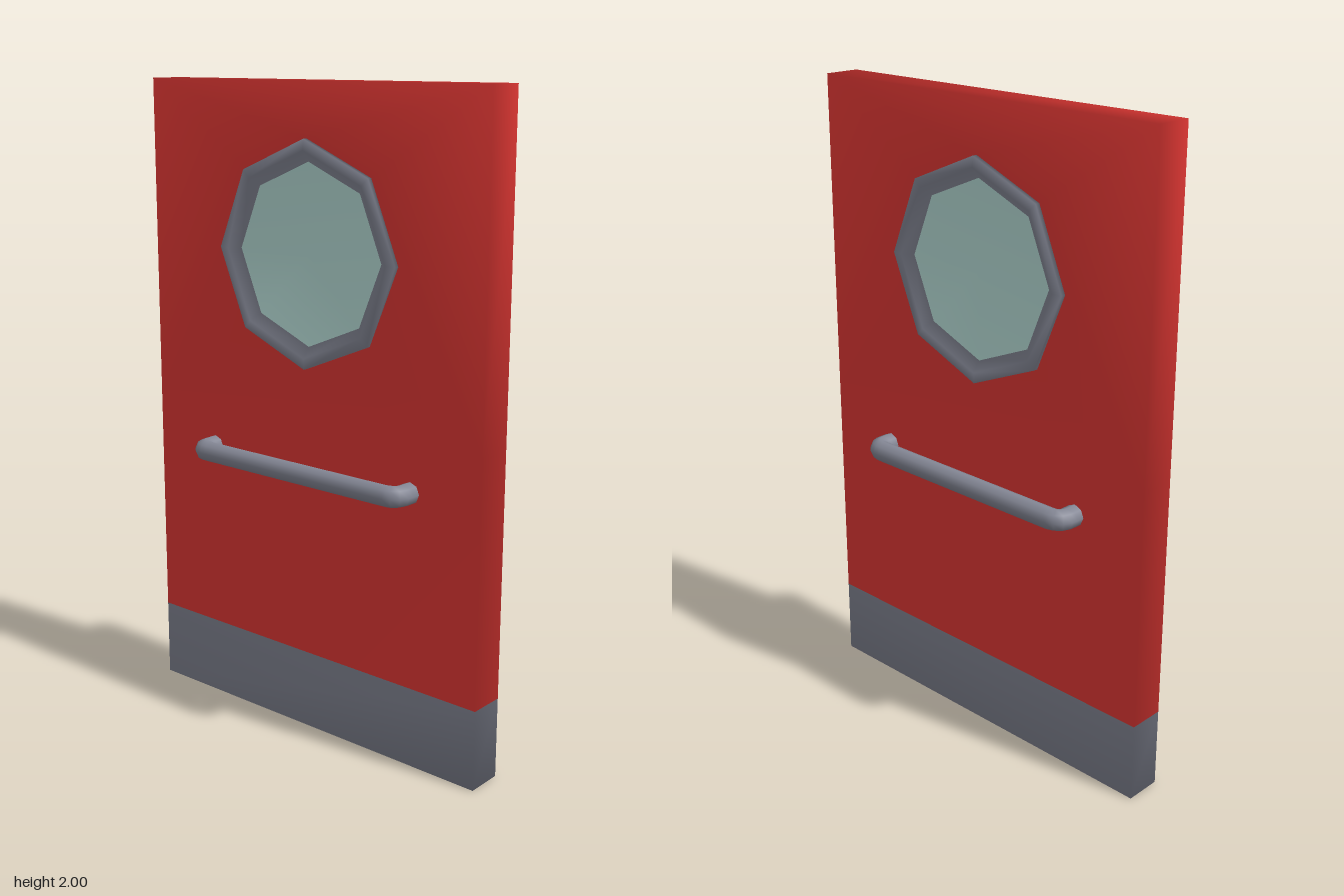
import * as THREE from 'three';

const W = 0.637, D = 0.058, WINDOW_Y = 1.5, SIDES = 8;

export function createModel() {
  const red = new THREE.MeshStandardMaterial({ color: 0xe53935 });
  red.name = 'red paint';
  const grey = new THREE.MeshStandardMaterial({ color: 0x858896 });
  grey.name = 'grey metal';
  const glass = new THREE.MeshStandardMaterial({ color: 0xbce3dd });
  glass.name = 'pale glass';

  const door = new THREE.Group();
  door.name = 'door';

  // The door skin shares its vertices, so shading flows across panel, frame and glass
  const positions = [];
  const parts = { panel: [], kickPlate: [], windowFrame: [], windowGlass: [] };
  const vertex = (x, y, z) => positions.push(x, y, z) / 3 - 1;
  const tri = (part, a, b, c, flip) => parts[part].push(...(flip ? [a, c, b] : [a, b, c]));
  const quad = (part, a, b, c, d, flip) => {
    tri(part, a, b, c, flip);
    tri(part, a, c, d, flip);
  };

  const levels = [0, 0.25, 1, 2];
  const frameProfile = [[0.338, D], [0.338, 0.073], [0.305, 0.075], [0.272, 0.05]];
  const edges = {};

  for (const s of [1, -1]) {
    const flip = s < 0;
    const left = levels.map(y => vertex(-W, y, s * D));
    const right = levels.map(y => vertex(W, y, s * D));
    edges[s] = { left, right };
    quad('kickPlate', left[0], right[0], right[1], left[1], flip);

    // Window frame rings, from the panel inwards to the glass
    const rings = frameProfile.map(([r, z]) => Array.from({ length: SIDES }, (_, i) => {
      const a = i / SIDES * Math.PI * 2;
      return vertex(r * Math.cos(a), WINDOW_Y + r * Math.sin(a), s * z);
    }));
    const centre = vertex(0, WINDOW_Y, s * 0.05);
    for (let i = 0; i < SIDES; i++) {
      const j = (i + 1) % SIDES;
      for (let k = 0; k < rings.length - 1; k++) {
        quad('windowFrame', rings[k][i], rings[k][j], rings[k + 1][j], rings[k + 1][i], flip);
      }
      tri('windowGlass', centre, rings[3][i], rings[3][j], flip);
    }

    // Panel: plain lower half, upper half cut out around the window
    quad('panel', left[1], right[1], right[2], left[2], flip);
    const outline = [left[2], right[2], right[3], left[3]];
    const hole = [...rings[0]].reverse();
    const flat = ids => ids.map(i => new THREE.Vector2(positions[i * 3], positions[i * 3 + 1]));
    const ids = [...outline, ...hole];
    for (const [a, b, c] of THREE.ShapeUtils.triangulateShape(flat(outline), [flat(hole)])) {
      const [p, q, r] = flat([ids[a], ids[b], ids[c]]);
      const clockwise = q.sub(p).cross(r.sub(p)) < 0;
      tri('panel', ids[a], ids[b], ids[c], clockwise !== flip);
    }
  }

  // Door edges
  const f = edges[1], b = edges[-1];
  for (let k = 0; k < 3; k++) {
    const part = k === 0 ? 'kickPlate' : 'panel';
    quad(part, f.right[k], b.right[k], b.right[k + 1], f.right[k + 1]);
    quad(part, b.left[k], f.left[k], f.left[k + 1], b.left[k + 1]);
  }
  quad('panel', f.left[3], f.right[3], b.right[3], b.left[3]);
  quad('kickPlate', b.left[0], b.right[0], f.right[0], f.left[0]);

  // One set of smooth normals for the whole skin, one mesh for each part
  const skin = new THREE.BufferGeometry();
  skin.setAttribute('position', new THREE.Float32BufferAttribute(positions, 3));
  skin.setIndex(Object.values(parts).flat());
  skin.computeVertexNormals();
  const materials = { panel: red, kickPlate: grey, windowFrame: grey, windowGlass: glass };
  for (const [name, index] of Object.entries(parts)) {
    const geometry = new THREE.BufferGeometry();
    geometry.setAttribute('position', skin.getAttribute('position'));
    geometry.setAttribute('normal', skin.getAttribute('normal'));
    geometry.setIndex(index);
    const mesh = new THREE.Mesh(geometry, materials[name]);
    mesh.name = name;
    door.add(mesh);
  }

  // Bent bar handles, one on each face
  const p = (x, z) => new THREE.Vector3(x, 0, z);
  const path = new THREE.CurvePath();
  path.add(new THREE.LineCurve3(p(-0.391, 0.04), p(-0.391, 0.088)));
  path.add(new THREE.QuadraticBezierCurve3(p(-0.391, 0.088), p(-0.391, 0.125), p(-0.35, 0.125)));
  path.add(new THREE.LineCurve3(p(-0.35, 0.125), p(0.35, 0.125)));
  path.add(new THREE.QuadraticBezierCurve3(p(0.35, 0.125), p(0.391, 0.125), p(0.391, 0.088)));
  path.add(new THREE.LineCurve3(p(0.391, 0.088), p(0.391, 0.04)));
  const bar = new THREE.TubeGeometry(path, 64, 0.033, 8, false);
  for (const [name, turn] of [['frontHandle', 0], ['backHandle', Math.PI]]) {
    const handle = new THREE.Mesh(bar, grey);
    handle.name = name;
    handle.position.y = 0.855;
    handle.rotation.y = turn;
    door.add(handle);
  }

  return door;
}
